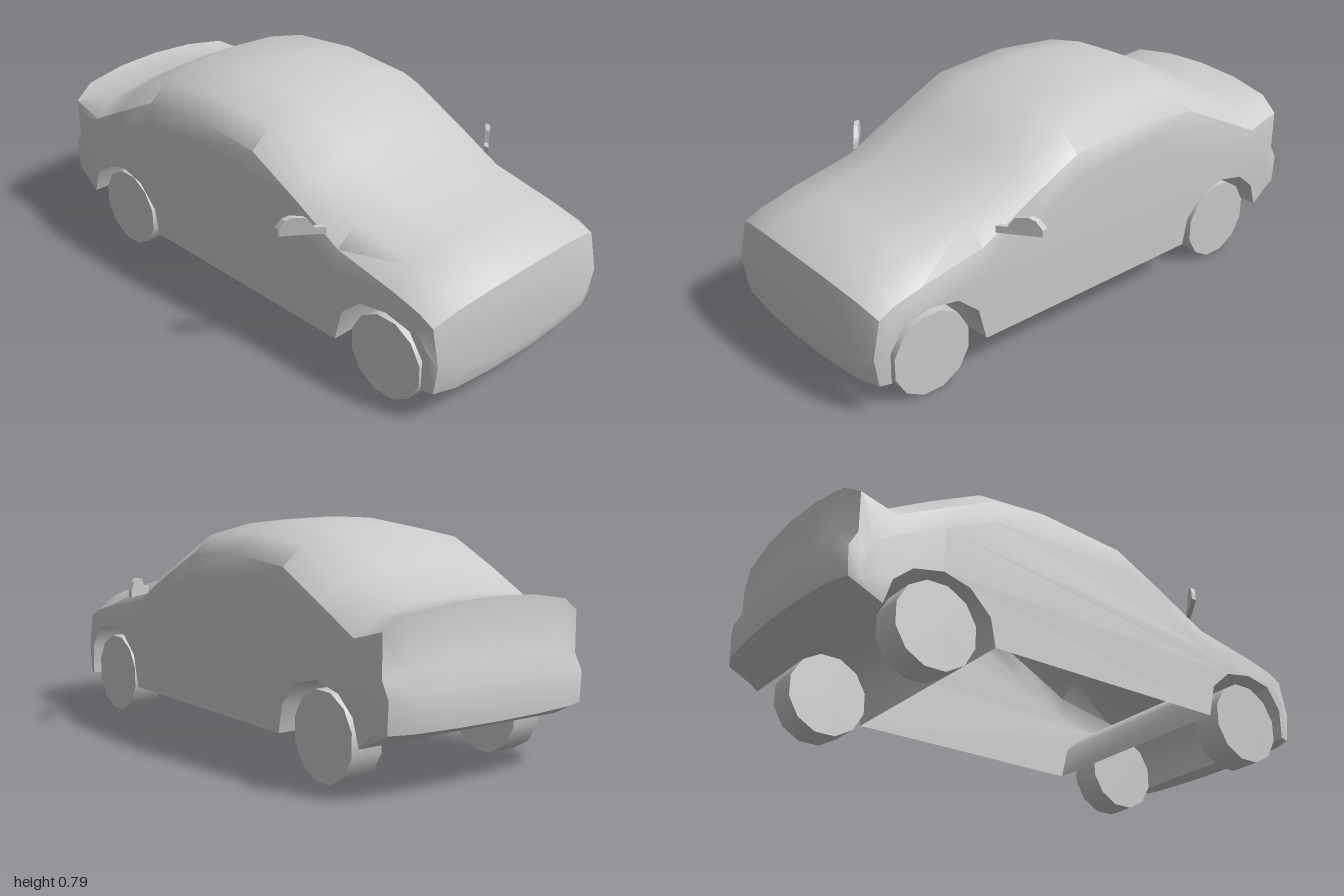
import * as THREE from 'three';
import { mergeGeometries, toCreasedNormals } from 'three/addons/utils/BufferGeometryUtils.js';

const grey = new THREE.MeshStandardMaterial({ color: 0xcccccc, side: THREE.DoubleSide });

// Half cross-section of the shell: x, drop of upper surfaces, pull-in of the two ends
const columns = [[0, 0, 0], [0.17, 0.01, 0.006], [0.33, 0.045, 0.022], [0.408, 0.11, 0.05], [0.419, 0.19, 0.09]];

// Centre line from front to rear: z, y, weight of drop, weight of pull-in
const profile = [
  [0.9, 0.12, 0, 0], [0.985, 0.12, 0, 1], [1, 0.165, -0.55, 1], [0.967, 0.42, 0.6, 0.9],
  [0.88, 0.47, 0.8, 0.3], [0.76, 0.508, 0.9, 0], [0.52, 0.565, 1, 0], [0.32, 0.67, 1, 0],
  [0.12, 0.768, 1, 0], [-0.16, 0.79, 1, 0], [-0.43, 0.765, 1, 0], [-0.62, 0.67, 1, 0],
  [-0.79, 0.572, 0.9, 0], [-0.955, 0.585, 0.7, 0.7], [-0.97, 0.4, 0.3, 1],
  [-1, 0.335, 0.2, 1], [-0.995, 0.21, 0, 1], [-0.83, 0.15, 0, 0],
];

// Wheel arch outlines (z, y), running from rear to front
const rearArch = [[-0.83, 0.15], [-0.8, 0.24], [-0.73, 0.3], [-0.62, 0.325], [-0.52, 0.3], [-0.44, 0.22], [-0.42, 0.12]];
const frontArch = [[0.52, 0.12], [0.55, 0.24], [0.63, 0.31], [0.74, 0.33], [0.84, 0.31], [0.895, 0.23], [0.9, 0.12]];

// Surface through rows of points
function gridSurface(rows) {
  const n = rows[0].length;
  const index = [];
  for (let r = 0; r < rows.length - 1; r++) {
    for (let c = 0; c < n - 1; c++) {
      const a = r * n + c, d = a + n;
      index.push(a, a + 1, d, a + 1, d + 1, d);
    }
  }
  const g = new THREE.BufferGeometry();
  g.setAttribute('position', new THREE.Float32BufferAttribute(rows.flat(2), 3));
  g.setIndex(index);
  return g.toNonIndexed();
}

function shellPoint([z, y, wy, wz], [x, drop, pull], side) {
  return [side * x, y - wy * drop, z - Math.sign(z) * wz * pull];
}

function bodyGeometry() {
  // Bonnet, roof, tail and bumpers
  const shell = gridSurface(profile.map((p) => [
    ...columns.slice(1).reverse().map((c) => shellPoint(p, c, -1)),
    ...columns.map((c) => shellPoint(p, c, 1)),
  ]));
  // Wheel wells reach across the whole width; the floor between them is open
  const wells = [rearArch, frontArch].map((arch) =>
    gridSurface(arch.map(([z, y]) => [[-0.419, y, z], [0.419, y, z]])));
  // Flat sides, cut out around the wheels
  const edge = profile.map((p) => shellPoint(p, columns[4], 1)).map(([, y, z]) => [z, y]);
  const outline = [...edge, ...rearArch.slice(1), ...frontArch.slice(0, -1)];
  const sides = [1, -1].map((s) => {
    const shape = new THREE.Shape(outline.map(([z, y]) => new THREE.Vector2(-s * z, y)));
    const g = new THREE.ShapeGeometry(shape).rotateY(s * Math.PI / 2).translate(s * 0.419, 0, 0).toNonIndexed();
    g.deleteAttribute('uv');
    g.deleteAttribute('normal');
    return g;
  });
  return toCreasedNormals(mergeGeometries([shell, ...wells, ...sides]), 0.75);
}

// Door mirror with its stalk, swept back towards the tip
function mirrorGeometry(s) {
  const outline = [[0.405, 0.49], [0.527, 0.49], [0.527, 0.515], [0.51, 0.545], [0.49, 0.555],
    [0.455, 0.55], [0.435, 0.515], [0.405, 0.515]];
  const shape = new THREE.Shape(outline.map(([x, y]) => new THREE.Vector2(s * x, y)));
  const g = new THREE.ExtrudeGeometry(shape, { depth: 0.02, bevelEnabled: false });
  const p = g.attributes.position;
  for (let i = 0; i < p.count; i++) {
    p.setZ(i, p.getZ(i) + 0.435 - (Math.abs(p.getX(i)) - 0.42) * 0.75);
  }
  g.computeVertexNormals();
  return g;
}

export function createModel() {
  const car = new THREE.Group();
  car.name = 'car';
  const add = (name, geometry) => {
    const mesh = new THREE.Mesh(geometry, grey);
    mesh.name = name;
    car.add(mesh);
    return mesh;
  };

  add('body', bodyGeometry());

  // Twelve-sided wheels standing on a flat
  const wheel = new THREE.CylinderGeometry(0.15, 0.15, 0.115, 12).rotateY(Math.PI / 12).rotateZ(Math.PI / 2);
  for (const [s, sideName] of [[1, 'left'], [-1, 'right']]) {
    for (const [z, endName] of [[0.725, 'Front'], [-0.628, 'Rear']]) {
      add(`${sideName}${endName}Wheel`, wheel).position.set(s * 0.3425, 0.145, z);
    }
    add(`${sideName}Mirror`, mirrorGeometry(s));
  }
  return car;
}
